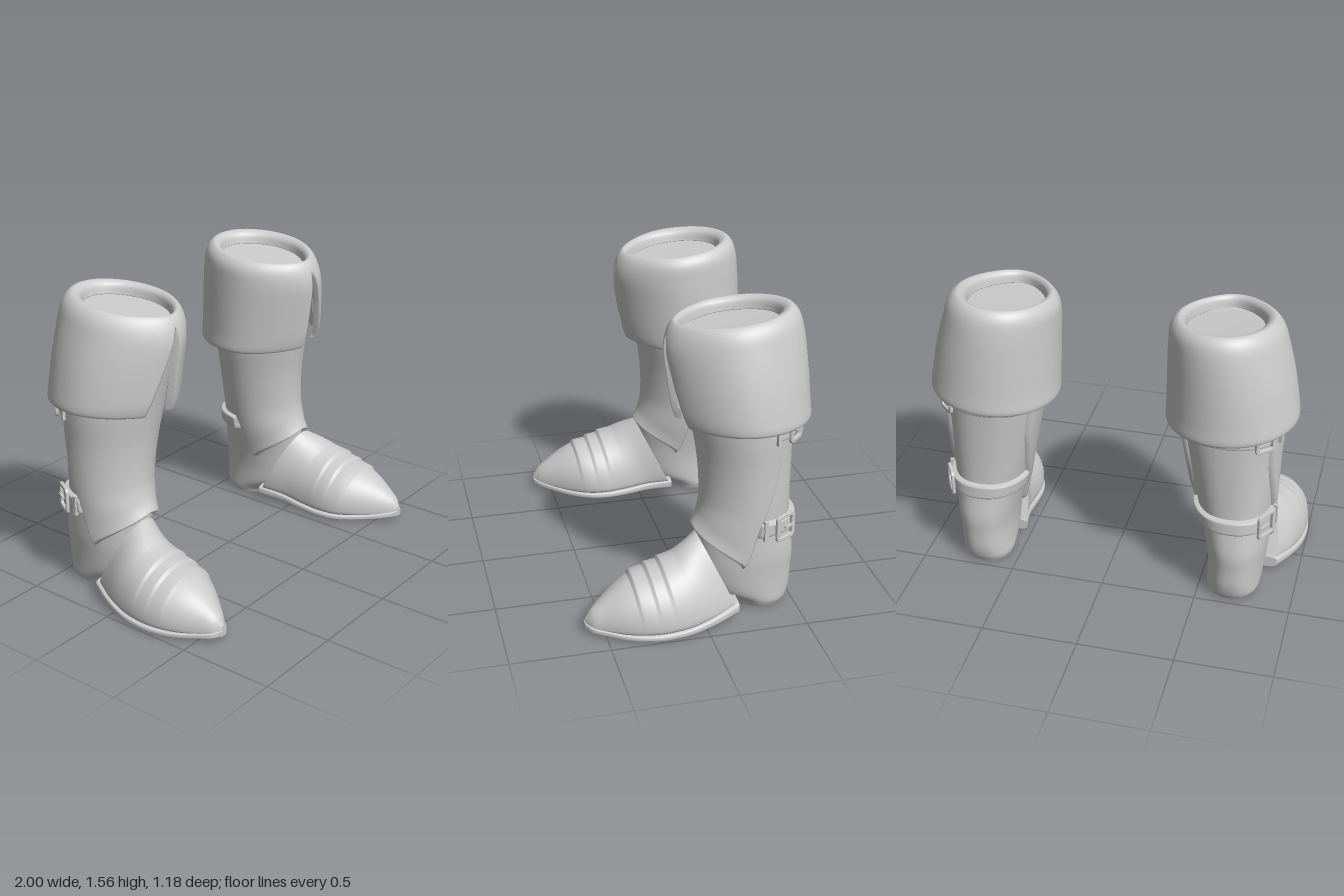
import * as THREE from 'three';
import { mergeVertices } from 'three/addons/utils/BufferGeometryUtils.js';

const mat = new THREE.MeshStandardMaterial({ color: 0xcccccc, side: THREE.DoubleSide });
const { sin, cos, abs, sign, min, max, sqrt, PI } = Math;

// Smooth curve through rows whose first entry is the key; returns the other entries.
function curve(rows) {
  const last = rows.length - 1;
  const slope = (i, k) => {
    const a = rows[max(0, i - 1)], b = rows[min(last, i + 1)];
    return (b[k] - a[k]) / (b[0] - a[0]);
  };
  return (t) => {
    t = min(rows[last][0], max(rows[0][0], t));
    let i = 0;
    while (i < last - 1 && t > rows[i + 1][0]) i++;
    const a = rows[i], b = rows[i + 1], h = b[0] - a[0], s = (t - a[0]) / h;
    return a.slice(1).map((p, n) => {
      const k = n + 1, s2 = s * s, s3 = s2 * s;
      return (2 * s3 - 3 * s2 + 1) * p + (s3 - 2 * s2 + s) * h * slope(i, k)
        + (3 * s2 - 2 * s3) * b[k] + (s3 - s2) * h * slope(i + 1, k);
    });
  };
}
const indexed = (rows) => curve(rows.map((r, i) => [i, ...r]));

// Surface from f(u, v); closed joins u ends, capStart/capEnd fill the end loops.
function grid(f, nu, nv, { closed = false, capStart = false, capEnd = false } = {}) {
  const pos = [], idx = [], cols = closed ? nu : nu + 1;
  for (let j = 0; j <= nv; j++) for (let i = 0; i < cols; i++) pos.push(...f(i / nu, j / nv));
  for (let j = 0; j < nv; j++) for (let i = 0; i < nu; i++) {
    const a = j * cols + i, b = j * cols + (i + 1) % cols;
    idx.push(a, b, b + cols, a, b + cols, a + cols);
  }
  const cap = (v, flip) => {
    const base = pos.length / 3, c = [0, 0, 0];
    for (let i = 0; i < nu; i++) {
      const p = f(i / nu, v);
      pos.push(...p);
      p.forEach((q, k) => { c[k] += q / nu; });
    }
    pos.push(...c);
    for (let i = 0; i < nu; i++) {
      const a = base + i, b = base + (i + 1) % nu;
      idx.push(base + nu, ...(flip ? [b, a] : [a, b]));
    }
  };
  if (capStart) cap(0, true);
  if (capEnd) cap(1, false);
  const g = new THREE.BufferGeometry();
  g.setAttribute('position', new THREE.Float32BufferAttribute(pos, 3));
  g.setIndex(idx);
  g.computeVertexNormals();
  return g;
}

// Horizontal section: angle 0 faces front, 90 degrees faces outward.
function section(a, [x0, x1, zb, zf], off, taper, power) {
  const s = sin(a), c = cos(a);
  const w = sign(s) * abs(s) ** (c < 0 ? power : 1) * (1 - taper * max(0, c) ** 2);
  return [(x0 + x1) / 2 + ((x1 - x0) / 2 + off) * w, (zb + zf) / 2 + ((zf - zb) / 2 + off) * c];
}

// Leg and heel: y, inner x, outer x, back z, front z
const legRows = curve([
  [0.01, 0.55, 0.80, -0.465, -0.21], [0.04, 0.54, 0.815, -0.48, -0.19],
  [0.1, 0.535, 0.825, -0.495, -0.08], [0.2, 0.53, 0.835, -0.5, -0.03],
  [0.3, 0.515, 0.845, -0.505, -0.02], [0.45, 0.48, 0.85, -0.487, -0.02],
  [0.6, 0.45, 0.855, -0.485, -0.05], [0.8, 0.41, 0.86, -0.49, -0.045],
  [1, 0.37, 0.87, -0.497, -0.015], [1.2, 0.35, 0.86, -0.5, 0.02], [1.45, 0.36, 0.79, -0.46, 0.05],
]);
function leg(a, y, off = 0) {
  const [x, z] = section(a, legRows(y), off, 0.1, 0.85);
  return [x, y, z];
}

// Foot stations: sole z, instep z, centre x, half width, top y, bottom y
const foot = indexed([
  [-0.18, 0, 0.7, 0.18, 0.43, 0.05], [-0.05, 0.08, 0.745, 0.2, 0.385, 0.04],
  [0.08, 0.16, 0.765, 0.218, 0.34, 0.025], [0.2, 0.25, 0.77, 0.225, 0.302, 0.02],
  [0.3, 0.34, 0.775, 0.21, 0.27, 0.02], [0.4, 0.42, 0.787, 0.165, 0.232, 0.022],
  [0.5, 0.505, 0.8, 0.1, 0.175, 0.03], [0.56, 0.56, 0.81, 0.056, 0.13, 0.037],
  [0.593, 0.593, 0.81, 0.015, 0.085, 0.045],
]);
function vamp(u, v) {
  const [zb, zt, cx, hw, yt, yb] = foot(v * 8);
  const t = u * 2 * PI, s = sin(t), c = cos(t), mid = yb + 0.2 * (yt - yb);
  // overlapping creases across the instep
  const q = (zt - 0.13) / 0.075;
  const fold = q > 0 && q < 3 ? 0.014 * (q % 1) * max(0, s) : 0;
  const y = s > 0 ? mid + (yt - mid) * s + fold : mid + (mid - yb) * sign(s) * abs(s) ** 0.6;
  const x = cx + (hw + fold * 0.3) * sign(c) * abs(c) ** (s < 0 ? 0.6 : 1);
  return [x, y, zb + (zt - zb) * (y - yb) / (yt - yb)];
}
function sole(u, v) {
  const [zb, , cx, hw, , yb] = foot(v * 8);
  const t = u * 2 * PI, s = sin(t), c = cos(t);
  const bottom = yb - 0.015, top = yb + 0.02 + 0.03 * (1 - v) ** 3;
  return [cx + (hw + 0.006) * sign(c) * abs(c) ** 0.3,
    (top + bottom) / 2 + (top - bottom) / 2 * sign(s) * abs(s) ** 0.5, zb + 0.004 * v];
}

// Front gaiter: pointed at both sides, arched over the instep, open at the back
const gaiterAngle = curve([[0.26, 76], [0.3, 84], [0.5, 100], [0.7, 115], [0.8, 121], [1, 124], [1.45, 124]]);
function gaiter(u, v) {
  const k = u * 2 - 1, e = sign(k) * (1 - (1 - abs(k)) ** 1.5);
  const vv = v ** 1.5, low = 0.45 - 0.19 * abs(e) ** 1.4, y = low + (1.4 - low) * vv;
  const edge = min(1, (1 - abs(e)) / 0.05, vv / 0.015);
  const flare = 0.025 * max(0, 1 - vv / 0.09) ** 2 * (1 - e * e);
  return leg(e * gaiterAngle(y)[0] * PI / 180, y, -0.012 + 0.034 * sqrt(edge) + flare);
}

// Turned-down cuff from lining, round the hem, up the outside, over the rim and in
const cuffRows = indexed([
  [1.32, 0.285, 0.90, -0.565, 0.13, 0.035], [1.1, 0.285, 0.945, -0.58, 0.105, 0.035],
  [1.03, 0.285, 0.95, -0.585, 0.09, 0.03], [1.008, 0.285, 0.95, -0.585, 0.09, 0.014],
  [1.025, 0.284, 0.953, -0.587, 0.09, 0], [1.1, 0.284, 0.945, -0.582, 0.107, 0],
  [1.25, 0.283, 0.917, -0.572, 0.125, 0], [1.4, 0.283, 0.878, -0.557, 0.137, 0],
  [1.49, 0.29, 0.848, -0.535, 0.12, 0], [1.535, 0.325, 0.805, -0.495, 0.088, 0],
  [1.52, 0.358, 0.765, -0.455, 0.06, 0], [1.475, 0.37, 0.75, -0.44, 0.05, 0],
  [1.472, 0.375, 0.745, -0.435, 0.045, 0], [1.47, 0.56, 0.561, -0.2, -0.199, 0],
]);
function cuff(u, v) {
  const row = v * 13;
  const [y, x0, x1, zb, zf, inset] = cuffRows(row);
  // front slit, wider on the outer flap
  const open = row < 9 ? max(0, (1.49 - y) / 0.46) : 0;
  const w = u - 0.08 * sin(2 * PI * u);
  const a0 = 0.38 * open, a1 = 2 * PI - 0.17 * open, a = a0 + (a1 - a0) * w;
  const e = min(1, min(a - a0, a1 - a) / 0.07);
  const round = (1 - sqrt(max(0, 1 - (1 - e) ** 2))) * min(1, open * 6);
  const [x, z] = section(a, [x0, x1, zb, zf], -inset - (0.035 - inset) * round, 0.22, 1);
  const up = min(1, max(0, (y - 1) / 0.5));
  const tilt = up * (-0.1 * (z + 0.2) + 0.04 * (x - 0.6)) + (1 - up) * 0.06 * (x - 0.6);
  return [x, y + tilt, z];
}

// Strap band between two angles (degrees) round the back of the leg
const strap = (from, to, y, h) => grid((u, v) => {
  const t = v * 2 - 1, end = min(1, u / 0.02, (1 - u) / 0.02);
  return leg((from + (to - from) * u) * PI / 180, y + h / 2 * sign(t) * abs(t) ** 0.6,
    -0.008 + 0.036 * max(0, 1 - t ** 6) ** 0.5 * end);
}, 48, 12);

function roundedRect(P, w, h, r) {
  const p = new P();
  [[w / 2 - r, h / 2 - r, 0], [r - w / 2, h / 2 - r, 1], [r - w / 2, r - h / 2, 2], [w / 2 - r, r - h / 2, 3]]
    .forEach(([x, y, q]) => p.absarc(x, y, r, q * PI / 2, (q + 1) * PI / 2, false));
  return p.closePath();
}
function frame(w, h) {
  const s = roundedRect(THREE.Shape, w, h, 0.02);
  s.holes.push(roundedRect(THREE.Path, w - 0.028, h - 0.028, 0.012));
  return new THREE.ExtrudeGeometry(s, { depth: 0.008, bevelSize: 0.004, bevelThickness: 0.005, bevelSegments: 2, curveSegments: 5 });
}
// Stands a flat piece against the leg at an angle and height
function onLeg(g, deg, y, off) {
  const a = deg * PI / 180;
  const p = new THREE.Vector3(...leg(a, y, off));
  const t = new THREE.Vector3(...leg(a + 0.05, y, off)).sub(new THREE.Vector3(...leg(a - 0.05, y, off))).normalize();
  const up = new THREE.Vector3(0, 1, 0), n = t.clone().cross(up);
  return g.applyMatrix4(new THREE.Matrix4().makeBasis(t, up, n).setPosition(p));
}

function bootParts() {
  const parts = [
    ['leg', grid((u, v) => leg(u * 2 * PI, 0.01 + 1.44 * v ** 1.3), 56, 60, { closed: true, capStart: true, capEnd: true })],
    ['vamp', grid(vamp, 48, 96, { closed: true, capStart: true, capEnd: true })],
    ['sole', grid(sole, 40, 40, { closed: true, capStart: true, capEnd: true })],
    ['gaiter', grid(gaiter, 72, 64)],
    ['cuff', grid(cuff, 96, 91)],
  ];
  // lower and upper straps, each with buckle frame, prong and keeper
  [['lower', 92, 262, 0.485, 0.085, 128, 0.12, 0.135], ['upper', 112, 248, 0.995, 0.07, 138, 0.11, 0.1]]
    .forEach(([n, from, to, y, h, at, w, fh]) => {
      parts.push([n + 'Strap', strap(from, to, y, h)],
        [n + 'Buckle', onLeg(frame(w, fh), at, y, 0.03)],
        [n + 'Prong', onLeg(new THREE.BoxGeometry(w * 0.55, 0.012, 0.012).translate(w * 0.2, 0, 0.01), at, y, 0.032)],
        [n + 'Keeper', onLeg(new THREE.BoxGeometry(0.02, h + 0.02, 0.02), at - 26, y, 0.028)]);
    });
  return parts;
}

// Mirrored copy with corner order reversed
function mirror(geometry) {
  const g = geometry.index ? geometry.clone() : mergeVertices(geometry);
  g.scale(-1, 1, 1);
  const ix = g.index.array;
  for (let i = 0; i < ix.length; i += 3) [ix[i], ix[i + 1]] = [ix[i + 1], ix[i]];
  return g;
}

export function createModel() {
  const model = new THREE.Group();
  model.name = 'pairOfBoots';
  const parts = bootParts();
  for (const side of ['left', 'right']) {
    const boot = new THREE.Group();
    boot.name = side + 'Boot';
    for (const [name, g] of parts) {
      const mesh = new THREE.Mesh(side === 'left' ? g : mirror(g), mat);
      mesh.name = name;
      boot.add(mesh);
    }
    model.add(boot);
  }
  return model;
}
